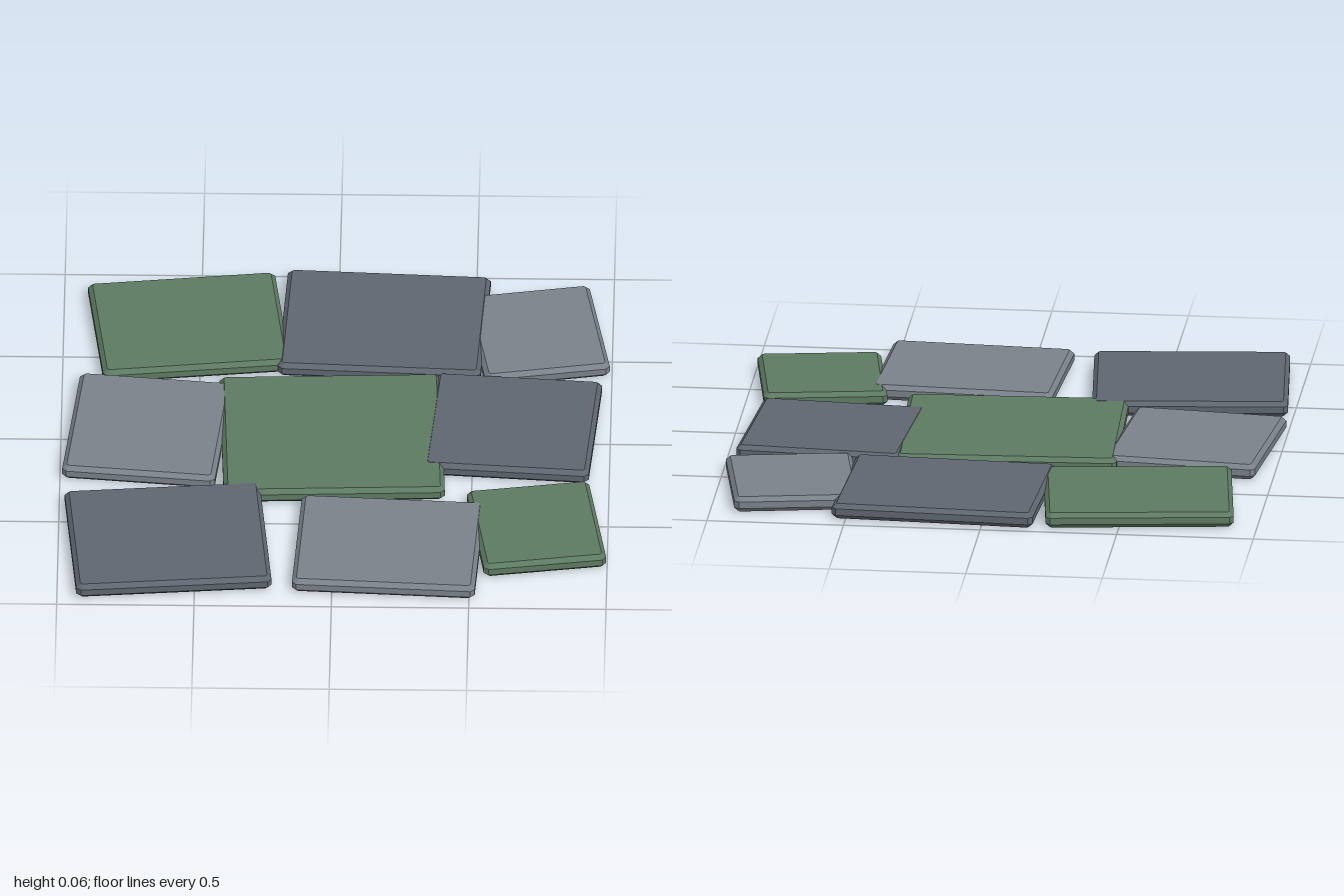
import * as THREE from 'three';

const THICKNESS = 0.057;
const BEVEL = 0.016;
const CORNER = 0.016;

const GREEN = 0x5d7a62;
const GREY = 0x7a818a;
const DARK = 0x5f6670;

// name, colour, centre x, centre z, width, depth, turn about y, stacking level
const SLABS = [
  ['backLeftSlab', GREEN, -0.543, -0.648, 0.685, 0.556, 0.12, 0],
  ['backMiddleSlab', DARK, 0.167, -0.664, 0.74, 0.595, -0.05, 2],
  ['backRightSlab', GREY, 0.725, -0.615, 0.46, 0.505, 0.17, 0],
  ['middleLeftSlab', GREY, -0.685, -0.021, 0.56, 0.592, -0.1, 0],
  ['centreSlab', GREEN, -0.012, 0.016, 0.805, 0.712, 0.037, 1],
  ['middleRightSlab', DARK, 0.644, -0.053, 0.605, 0.57, -0.075, 2],
  ['frontLeftSlab', DARK, -0.6, 0.643, 0.713, 0.597, 0.09, 2],
  ['frontMiddleSlab', GREY, 0.202, 0.672, 0.667, 0.536, -0.055, 1],
  ['frontRightSlab', GREEN, 0.74, 0.553, 0.45, 0.476, 0.155, 0],
];

// Flat stone with clipped corners and chamfered top and bottom edges
function slabGeometry(width, depth) {
  const x = width / 2, y = depth / 2, c = CORNER;
  const outline = new THREE.Shape([
    [x - c, -y], [x, -y + c], [x, y - c], [x - c, y],
    [-x + c, y], [-x, y - c], [-x, -y + c], [-x + c, -y],
  ].map(([px, py]) => new THREE.Vector2(px, py)));
  const geometry = new THREE.ExtrudeGeometry(outline, {
    depth: THICKNESS - 2 * BEVEL,
    bevelEnabled: true,
    bevelSegments: 1,
    bevelSize: BEVEL,
    bevelOffset: -BEVEL,
    bevelThickness: BEVEL,
  });
  geometry.translate(0, 0, BEVEL);
  geometry.rotateX(-Math.PI / 2);
  return geometry;
}

export function createModel() {
  const paving = new THREE.Group();
  paving.name = 'stonePaving';

  for (const [name, color, x, z, width, depth, turn, level] of SLABS) {
    const material = new THREE.MeshStandardMaterial({ color, flatShading: true });
    const slab = new THREE.Mesh(slabGeometry(width, depth), material);
    slab.name = name;
    // Overlapping stones sit a hair above one another
    slab.position.set(x, level * 0.001, z);
    slab.rotation.y = turn;
    paving.add(slab);
  }
  return paving;
}
